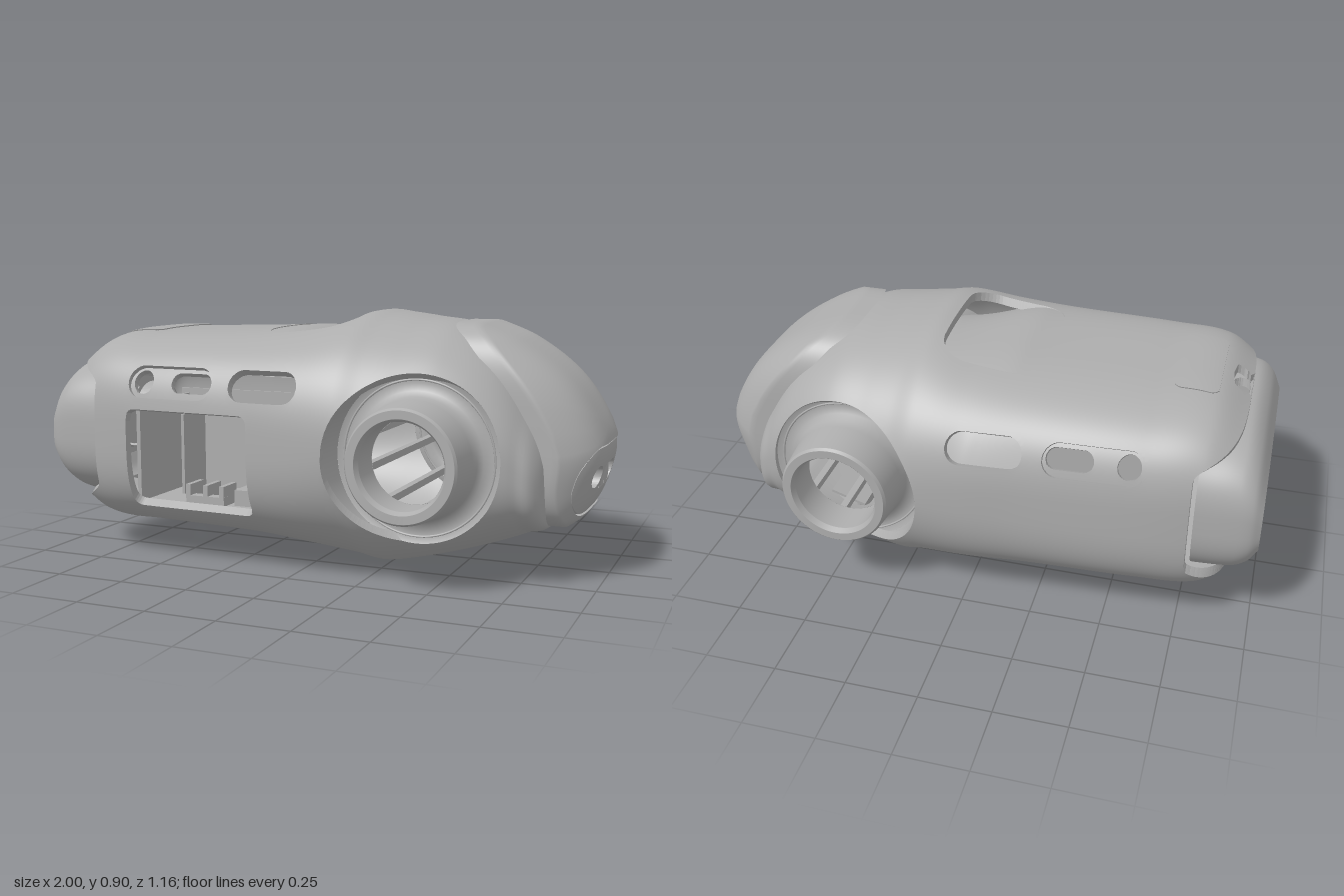
import * as THREE from 'three';
import { mergeVertices } from 'three/addons/utils/BufferGeometryUtils.js';

const shellGrey = new THREE.MeshStandardMaterial({ color: 0xadadad, side: THREE.DoubleSide });
shellGrey.name = 'shellGrey';

// Smooth interpolation of a table of rows [key, value, value, ...]
function sample(rows, k) {
  let i = 0;
  while (i < rows.length - 2 && k > rows[i + 1][0]) i++;
  const a = rows[i], b = rows[i + 1], p = rows[i - 1] || a, q = rows[i + 2] || b;
  const h = b[0] - a[0], t = THREE.MathUtils.clamp((k - a[0]) / h, 0, 1);
  return a.slice(1).map((va, c) => {
    const vb = b[c + 1];
    const ma = (vb - p[c + 1]) / (b[0] - p[0]) * h, mb = (q[c + 1] - va) / (q[0] - a[0]) * h;
    return va * (1 + 2 * t) * (1 - t) ** 2 + ma * t * (1 - t) ** 2 + vb * t * t * (3 - 2 * t) + mb * t * t * (t - 1);
  });
}
const power = (v, n) => Math.sign(v) * Math.abs(v) ** (2 / n);
const smooth = THREE.MathUtils.smoothstep;

// Signed distance to a rounded rectangle, negative inside
function roundRect(a, b, ca, cb, ha, hb, r) {
  const p = Math.abs(a - ca) - ha + r, q = Math.abs(b - cb) - hb + r;
  return Math.hypot(Math.max(p, 0), Math.max(q, 0)) + Math.min(Math.max(p, q), 0) - r;
}

// Grid surface trimmed where keep(p) < 0, with a wall of the given thickness at each trimmed edge
function surface(name, pos, [u0, u1, nu], [v0, v1, nv], keep = () => 1, thick = 0.03) {
  const skin = [], wall = [];
  const point = (u, v) => { const p = pos(u, v, 0); return { u, v, p, d: keep(...p) }; };
  const grid = [];
  for (let i = 0; i <= nu; i++) {
    grid.push([]);
    for (let j = 0; j <= nv; j++) grid[i].push(point(u0 + (u1 - u0) * i / nu, v0 + (v1 - v0) * j / nv));
  }
  const clip = (tri) => {
    const poly = [], cuts = [];
    tri.forEach((a, i) => {
      const b = tri[(i + 1) % 3];
      if (a.d >= 0) poly.push(a);
      if ((a.d >= 0) !== (b.d >= 0)) {
        const t = a.d / (a.d - b.d);
        const c = point(a.u + (b.u - a.u) * t, a.v + (b.v - a.v) * t);
        poly.push(c);
        cuts.push(c);
      }
    });
    for (let i = 2; i < poly.length; i++) skin.push(...poly[0].p, ...poly[i - 1].p, ...poly[i].p);
    if (cuts.length === 2) {
      const [a, b] = cuts, c = pos(b.u, b.v, thick), d = pos(a.u, a.v, thick);
      wall.push(...a.p, ...b.p, ...c, ...a.p, ...c, ...d);
    }
  };
  for (let i = 0; i < nu; i++) for (let j = 0; j < nv; j++) {
    const a = grid[i][j], b = grid[i + 1][j], c = grid[i + 1][j + 1], d = grid[i][j + 1];
    clip([a, b, c]);
    clip([a, c, d]);
  }
  const group = new THREE.Group();
  group.name = name;
  [skin, wall].forEach((list, i) => {
    if (!list.length) return;
    let g = new THREE.BufferGeometry();
    g.setAttribute('position', new THREE.Float32BufferAttribute(list, 3));
    if (i === 0) g = mergeVertices(g, 1e-4);
    g.computeVertexNormals();
    const m = new THREE.Mesh(g, shellGrey);
    m.name = name + (i ? 'Edge' : 'Skin');
    group.add(m);
  });
  return group;
}

// Cross-sections: x, bottom, top, half width, roundness exponent
const BODY = [
  [-0.92, 0.175, 0.735, 0.45, 3], [-0.8, 0.105, 0.81, 0.485, 3.2], [-0.6, 0.097, 0.82, 0.51, 3.2],
  [-0.2, 0.082, 0.835, 0.53, 3], [0, 0.055, 0.86, 0.545, 2.7], [0.17, 0.022, 0.9, 0.55, 2.35],
  [0.25, 0.004, 0.893, 0.54, 2.3], [0.35, 0.02, 0.88, 0.525, 2.3], [0.5, 0.06, 0.855, 0.49, 2.4],
  [0.65, 0.11, 0.77, 0.44, 2.5], [0.75, 0.15, 0.64, 0.4, 2.5], [0.83, 0.19, 0.47, 0.31, 2.6], [0.85, 0.3, 0.35, 0.05, 2.6]];
const CAP = [
  [-1, 0.28, 0.6, 0.42, 3], [-0.97, 0.225, 0.675, 0.44, 3], [-0.92, 0.19, 0.72, 0.45, 3], [-0.78, 0.18, 0.735, 0.46, 3]];
const HEAD = [[0.17, 0.86], [0.22, 0.925], [0.32, 0.975], [0.45, 1], [0.57, 0.955], [0.7, 0.855], [0.81, 0.7], [0.87, 0.55]];
const SX = 0.43, SY = 0.43, SR = 0.285; // shoulder socket centre and radius

function section(rows, x, a, inset) {
  const [lo, hi, w, n] = sample(rows, x);
  return [x, (lo + hi) / 2 + ((hi - lo) / 2 - inset) * power(Math.sin(a), n), (w - inset) * power(Math.cos(a), n)];
}
const bodyAt = (x, a, inset) => section(BODY, x, a, inset);
function bodySide(x, y) {
  const [lo, hi, w, n] = sample(BODY, x);
  return w * Math.max(0, 1 - Math.abs((2 * y - lo - hi) / (hi - lo)) ** n) ** (1 / n);
}
function headAt(t, a, inset) {
  const s = Math.min(t, 1);
  const y = 0.525 + 0.343 * s * power(Math.sin(a), 4), z = 0.3 * s * power(Math.cos(a), 4);
  return [sample(HEAD, y)[0] - 0.13 * (z / 0.3) ** 4 - inset - Math.max(0, t - 1), y, z];
}

// Openings
const sidePlate = (x, y) => roundRect(x, y, -0.45, 0.653, 0.17, 0.055, 0.055);
const topOpening = (x, z) => roundRect(x, z, -0.03, 0, 0.175, 0.265, 0.1);
const rearSlot = (x, z) => roundRect(x, z, -0.87, 0, 0.03, 0.078, 0.03);
const sensor = (y, z) => roundRect(z, y, 0, 0.35, 0.255, 0.12, 0.11);
const vents = [0, -0.68];
const rearEdge = (y) => -0.768 - 0.14 * smooth(Math.abs(y - 0.455), 0.18, 0.29);
function bodyKeep(x, y, z) {
  return Math.min(
    x - rearEdge(y), sidePlate(x, y), rearSlot(x, z),
    roundRect(x, y, -0.085, 0.655, 0.13, 0.053, 0.053),
    Math.hypot(x - SX, y - SY) - SR,
    Math.max(roundRect(x, y, -0.38, 0.378, 0.245, 0.178, 0.03), -z),
    Math.max(topOpening(x, z), 0.6 - y),
    Math.max(roundRect(x, z, 0.56, 0, 0.065, 0.15, 0.05), y - 0.3),
    ...vents.map((c) => Math.max(roundRect(x, z, c, 0, 0.05, 0.19, 0.05), y - 0.3)));
}

export function createModel() {
  const model = new THREE.Group();
  model.name = 'robotTorso';
  const add = (name, geo, x = 0, y = 0, z = 0) => {
    const m = new THREE.Mesh(geo, shellGrey);
    m.name = name;
    m.position.set(x, y, z);
    model.add(m);
    return m;
  };
  const box = (name, w, h, d, x, y, z) => add(name, new THREE.BoxGeometry(w, h, d), x, y, z);
  const turn = [0, Math.PI * 2, 128];

  // Main shell, sunken top panel and the plates set into both sides
  model.add(surface('bodyShell', bodyAt, [-0.92, 0.85, 144], turn, bodyKeep));
  model.add(surface('topPanel', (x, a, i) => bodyAt(x, a, i + 0.003 + 0.1 * smooth(x, -0.14, 0.2)),
    [-0.25, 0.2, 40], [0, Math.PI, 64], (x, y, z) => Math.min(0.3 - Math.abs(z), y - 0.6), 0.01));
  model.add(surface('batteryLid', (x, a, i) => bodyAt(x, a, i - 0.004), [-0.83, -0.62, 24], [0, Math.PI, 64],
    (x, y, z) => Math.min(-roundRect(x, z, -0.73, 0, 0.075, 0.2, 0.03), y - 0.5), 0.006));
  model.add(surface('sidePlates', (x, a, i) => bodyAt(x, a, i + 0.015), [-0.64, -0.26, 48], turn,
    (x, y) => Math.min(-sidePlate(x, y) + 0.01, Math.hypot(x + 0.565, y - 0.65) - 0.04,
      roundRect(x, y, -0.37, 0.652, 0.08, 0.034, 0.034)), 0.02));

  // Rear cap with two round ports
  model.add(surface('rearCap', (x, a, i) => section(CAP, x, a, i), [-1, -0.78, 32], turn,
    (x, y, z) => Math.min(rearSlot(x, z), Math.max(rearEdge(y) - 0.014 - x, 0.3 - Math.abs(z)))));
  model.add(surface('rearFace', (t, a, i) => {
    const [, y, z] = section(CAP, -1, a, 0);
    return [-1 + i, 0.44 + (y - 0.44) * t, z * t];
  }, [0, 1, 32], turn, (x, y, z) => Math.min(
    Math.hypot(Math.abs(z) - 0.265, y - 0.44) - 0.125,
    ...[0.32, 0.56].map((c) => Math.hypot(Math.abs(z) - 0.07, y - c) - 0.01)), 0.06));

  // Head cover with recessed sensor window
  model.add(surface('headCover', headAt, [0, 1.08, 54], turn, (x, y, z) => sensor(y, z), 0.02));
  model.add(surface('sensorPlate', (t, a, i) => headAt(t, a, i + 0.006), [0, 1, 60], turn,
    (x, y, z) => Math.min(-sensor(y, z) - 0.007, Math.hypot(Math.abs(z) - 0.145, y - 0.365) - 0.038,
      roundRect(z, y, 0, 0.362, 0.088, 0.038, 0.038)), 0.04));
  for (const s of [1, -1]) box('sensorLens', 0.01, 0.09, 0.09, 0.965, 0.362, s * 0.046);

  // Shoulder tubes flaring into the round sockets
  const tube = [[0.155, 0.44], [0.145, 0.44], [0.145, 0.56], [0.155, 0.58], [0.183, 0.58], [0.19, 0.57], [0.202, 0.45],
    [0.208, 0.415], [0.225, 0.398], [0.25, 0.392], [0.27, 0.394], [SR, 0.4]];
  const points = tube.flatMap(([r, h], i) => (i < 6 && i ? [[r - 0.0005, h], [r + 0.0005, h]] : [[r, h]]))
    .map(([r, h]) => new THREE.Vector2(r, h));
  for (const s of [1, -1]) {
    add('shoulderTube', new THREE.LatheGeometry(points, 64), SX, SY, 0).rotation.x = s * Math.PI / 2;
    add('socketSeam', new THREE.TorusGeometry(0.262, 0.004, 6, 72), SX, SY, s * 0.393);
    model.add(surface('socketWall', (t, a) => {
      const x = SX + SR * Math.cos(a), y = SY + SR * Math.sin(a);
      return [x, y, s * (0.4 + (bodySide(x, y) - 0.4) * t)];
    }, [0, 1, 4], turn));
  }
  // Rods joining the tubes inside the shell
  for (let i = 0; i < 8; i++) {
    const a = i * Math.PI / 4 + 0.2;
    box('innerRod', 0.025, 0.025, 0.88, SX + 0.168 * Math.cos(a), SY + 0.168 * Math.sin(a), 0);
  }

  // Equipment bay behind the front opening
  box('bayBack', 0.56, 0.4, 0.01, -0.38, 0.385, 0.05);
  box('bayFloor', 0.53, 0.015, 0.32, -0.38, 0.195, 0.21);
  for (const x of [-0.635, -0.125]) box('baySide', 0.015, 0.36, 0.36, x, 0.385, 0.23);
  box('bayBoard', 0.012, 0.3, 0.16, -0.54, 0.36, 0.18);
  for (const x of [-0.45, -0.38, -0.315]) box('bayClip', 0.018, 0.08, 0.1, x, 0.235, 0.33);
  box('bayClipBar', 0.15, 0.03, 0.04, -0.38, 0.22, 0.36);
  for (let i = 0; i < 3; i++) box('bayStep', 0.14, 0.14 - i * 0.04, 0.09, -0.21, 0.27 - i * 0.02, 0.12 + i * 0.09);

  // Underside vents and connector slot
  for (const c of vents) {
    const floor = sample(BODY, c)[0];
    for (let i = -3; i <= 3; i++) {
      const half = 0.14 + Math.sqrt(0.0025 - (i * 0.014) ** 2);
      box('ventBar', 0.007, 0.01, half * 2, c + i * 0.014, floor + 0.02, 0);
    }
    for (let i = -9; i <= 9; i++) box('ventCrossBar', 0.09, 0.008, 0.007, c, floor + 0.021, i * 0.018);
  }
  const slotFloor = box('slotFloor', 0.14, 0.01, 0.32, 0.56, 0.115, 0);
  const slotBar = box('slotBar', 0.04, 0.02, 0.22, 0.56, 0.1, 0);
  const slotTab = box('slotTab', 0.1, 0.03, 0.03, 0.56, 0.1, 0);
  for (const m of [slotFloor, slotBar, slotTab]) m.rotation.z = 0.32;
  return model;
}
